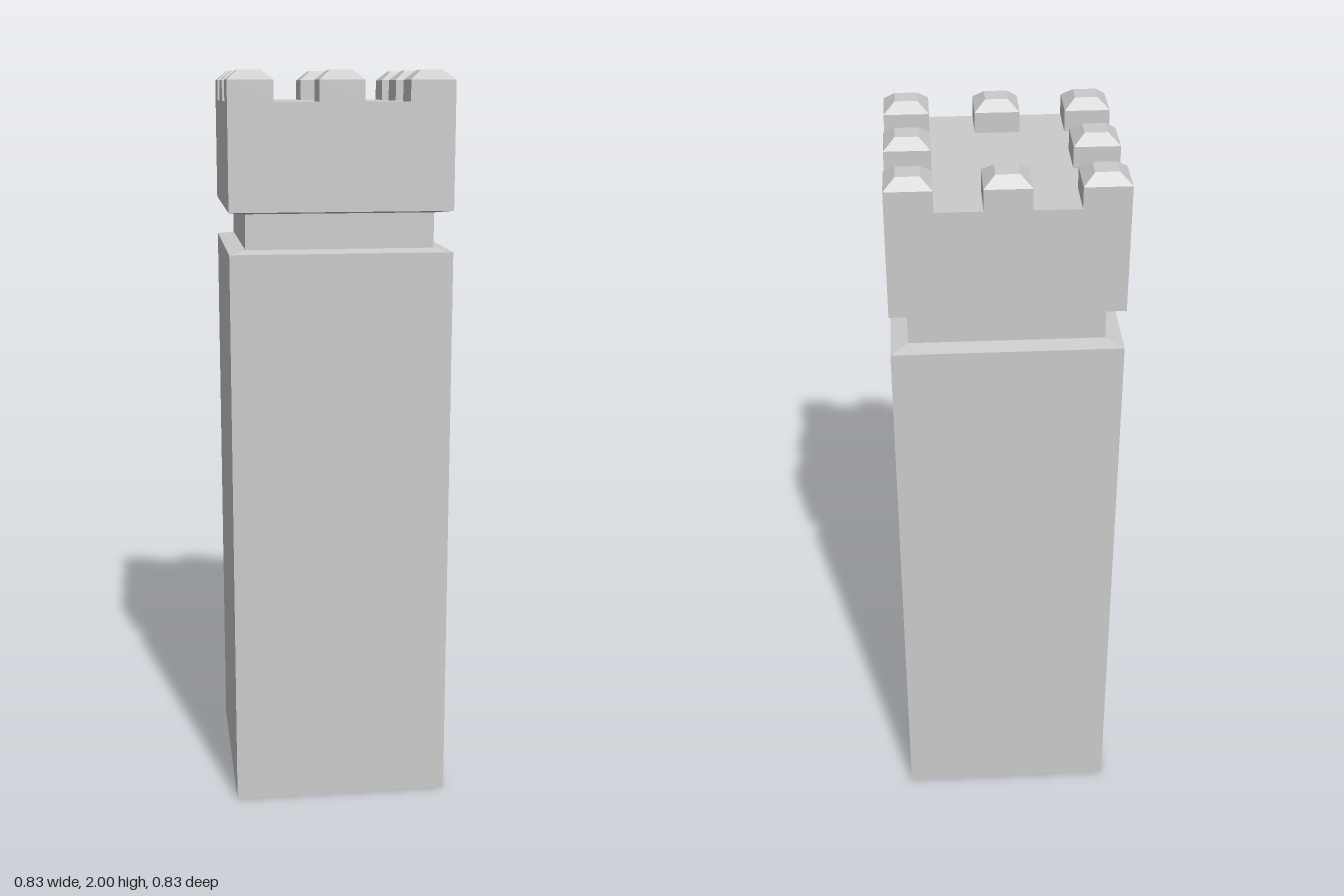
import * as THREE from 'three';

const material = new THREE.MeshStandardMaterial({ color: 0xcccccc, flatShading: true });

// Four-sided solid turned from [radius, y] pairs, with corners on the x and z axes
function squareTurned(name, profile) {
  const points = profile.map(([r, y]) => new THREE.Vector2(r, y));
  const mesh = new THREE.Mesh(new THREE.LatheGeometry(points, 4), material);
  mesh.name = name;
  return mesh;
}

export function createModel() {
  const tower = new THREE.Group();
  tower.name = 'tower';

  const R = 0.417; // half diagonal of the tower
  const NECK = 0.354;
  const DECK = 1.92;

  // Shaft, recessed neck and battlement block with slightly sloped ledges
  tower.add(squareTurned('towerBody', [
    [0, 0], [R, 0], [R, 1.533], [NECK, 1.541],
    [NECK, 1.634], [R, 1.641], [R, DECK], [0, DECK],
  ]));

  // Merlons: one at each corner and one midway along each side
  const merlons = new THREE.Group();
  merlons.name = 'merlons';
  const m = R / 5;
  for (let i = 0; i < 8; i++) {
    const angle = (i * Math.PI) / 4;
    const distance = (R - m) * (i % 2 ? Math.SQRT1_2 : 1);
    const merlon = squareTurned('merlon', [
      [m, 0], [m, 0.055], [m / 2, 0.08], [0, 0.08],
    ]);
    merlon.position.set(Math.sin(angle) * distance, DECK, Math.cos(angle) * distance);
    merlons.add(merlon);
  }
  tower.add(merlons);

  return tower;
}
